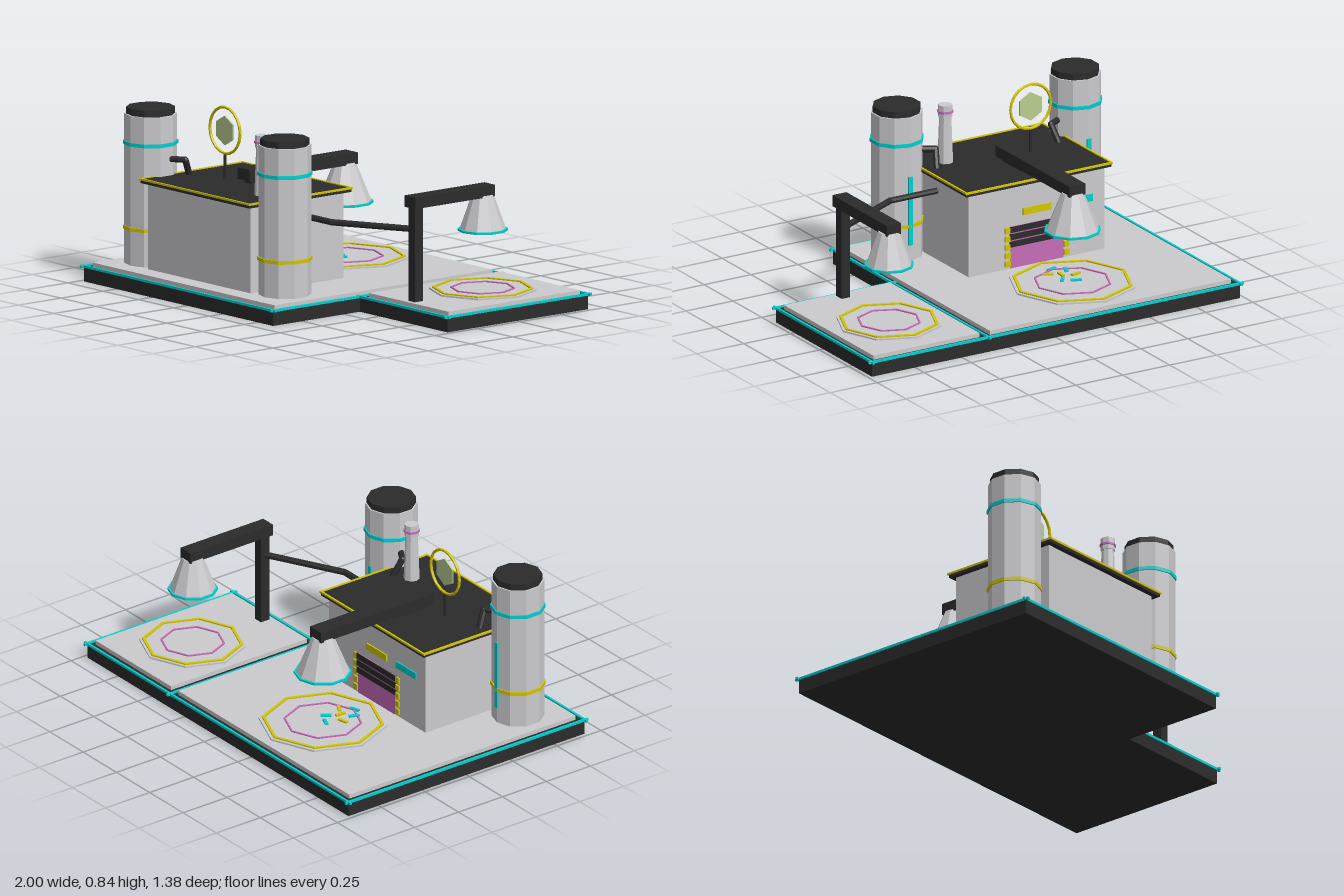
import * as THREE from 'three';

const mat = (name, color) => Object.assign(new THREE.MeshStandardMaterial({ color }), { name });

export function createModel() {
  const dark = mat('charcoal', 0x2b2b2c), light = mat('light grey', 0xcbcbce);
  const teal = mat('teal', 0x00cfcf), yellow = mat('yellow', 0xd2c500);
  const pink = mat('pink', 0xc86cb8), green = mat('pale green', 0xb9cd8f);
  const root = new THREE.Group();
  root.name = 'factory';

  // Helpers: faceted mesh, box, cylinder and square-section ring
  function add(name, geo, material, x, y, z, parent = root) {
    const flat = geo.index ? geo.toNonIndexed() : geo;
    flat.computeVertexNormals();
    const m = new THREE.Mesh(flat, material);
    m.name = name;
    m.position.set(x, y, z);
    parent.add(m);
    return m;
  }
  // box given by its minimum and maximum along each axis
  const span = (name, material, x0, x1, y0, y1, z0, z1, parent) =>
    add(name, new THREE.BoxGeometry(x1 - x0, y1 - y0, z1 - z0), material,
      (x0 + x1) / 2, (y0 + y1) / 2, (z0 + z1) / 2, parent);
  const cyl = (name, material, rTop, rBottom, y0, y1, x, z, sides = 10, parent = root) =>
    add(name, new THREE.CylinderGeometry(rTop, rBottom, y1 - y0, sides), material, x, (y0 + y1) / 2, z, parent);
  function ring(name, material, inner, outer, h, x, y, z, sides = 10, parent = root) {
    const p = [[inner, -h / 2], [outer, -h / 2], [outer, h / 2], [inner, h / 2], [inner, -h / 2]]
      .map(([a, b]) => new THREE.Vector2(a, b));
    return add(name, new THREE.LatheGeometry(p, sides), material, x, y, z, parent);
  }
  // bent pipe made of straight rods with ball joints
  function pipe(name, points, r, parent = root) {
    const v = points.map(p => new THREE.Vector3(...p));
    v.forEach((b, i) => {
      add(name + 'Joint', new THREE.SphereGeometry(r, 8, 6), dark, b.x, b.y, b.z, parent);
      if (!i) return;
      const a = v[i - 1], d = b.clone().sub(a);
      const mid = a.clone().add(b).multiplyScalar(0.5);
      const rod = add(name, new THREE.CylinderGeometry(r, r, d.length(), 8), dark, mid.x, mid.y, mid.z, parent);
      rod.quaternion.setFromUnitVectors(new THREE.Vector3(0, 1, 0), d.normalize());
    });
  }
  // four rods around a rectangle
  function trim(name, material, x0, x1, z0, z1, y, t, over) {
    for (const z of [z0, z1]) span(name, material, x0 - over, x1 + over, y - t / 2, y + t / 2, z - t / 2, z + t / 2);
    for (const x of [x0, x1]) span(name, material, x - t / 2, x + t / 2, y - t / 2, y + t / 2, z0 - over, z1 + over);
  }

  // Two joined bases with floor slabs and glowing edges
  for (const [x0, x1, z0, z1] of [[-0.98, 0.36, -0.672, 0.672], [0.36, 0.98, -0.672, 0.16]]) {
    span('base', dark, x0, x1, 0, 0.068, z0, z1);
    span('floorSlab', light, x0 + 0.03, x1 - 0.025, 0.068, 0.088, z0 + 0.028, z1 - 0.028);
    trim('baseTrim', teal, x0, x1, z0, z1, 0.07, 0.011, 0.018);
  }

  // Landing pads with hanging nozzles and their overhead arms
  const stations = [
    { x: -0.31, pad: 0.295, outer: 0.28, inner: 0.18, cone: 0.125, bottom: 0.345, w: 0.085, back: 0.288 },
    { x: 0.667, pad: 0.245, outer: 0.232, inner: 0.148, cone: 0.108, bottom: 0.367, w: 0.075, back: 0.12 },
  ];
  for (const s of stations) {
    const z = -0.31;
    cyl('pad', light, s.pad, s.pad, 0.088, 0.096, s.x, z, 8);
    ring('padOuterRing', yellow, s.outer - 0.014, s.outer, 0.008, s.x, 0.098, z, 8);
    ring('padInnerRing', pink, s.inner - 0.008, s.inner, 0.007, s.x, 0.098, z, 8);
    cyl('nozzle', light, 0.05, s.cone, s.bottom, 0.53, s.x, z);
    ring('nozzleRim', teal, s.cone - 0.01, s.cone + 0.007, 0.01, s.x, s.bottom + 0.002, z);
    span('arm', dark, s.x - s.w / 2, s.x + s.w / 2, 0.522, 0.575, -0.352, s.back);
  }
  span('armPost', dark, 0.645, 0.69, 0.088, 0.525, 0.062, 0.11);
  span('armMount', dark, -0.335, -0.285, 0.5, 0.525, 0.08, 0.26);

  // Loose pieces lying on the large pad
  [[-0.31, -0.13, 0.3, teal], [-0.36, -0.17, 1.2, teal], [-0.26, -0.18, -0.5, yellow], [-0.37, -0.24, 0.2, yellow],
    [-0.28, -0.27, 0.9, teal], [-0.33, -0.31, -0.4, teal], [-0.31, -0.21, 1.5, yellow]]
    .forEach(([x, z, turn, m]) => {
      add('padPiece', new THREE.BoxGeometry(0.05, 0.008, 0.016), m, x, 0.1, z).rotation.y = turn;
    });

  // Main building and roof
  span('building', light, -0.672, 0.052, 0.088, 0.487, 0, 0.55);
  span('roof', dark, -0.693, 0.078, 0.487, 0.505, -0.025, 0.577);
  trim('roofTrim', yellow, -0.693, 0.078, -0.025, 0.577, 0.505, 0.009, 0.006);

  // Rear gate with slats, marker blocks and sign plates
  span('gate', pink, -0.45, -0.17, 0.09, 0.29, -0.005, 0.001);
  for (let i = 0; i < 3; i++)
    span('gateSlat', dark, -0.455, -0.165, 0.192 + i * 0.035, 0.22 + i * 0.035, -0.009, 0.001);
  for (const x of [-0.466, -0.154]) for (let i = 0; i < 5; i++)
    span('gateMarker', yellow, x - 0.014, x + 0.014, 0.1 + i * 0.04, 0.127 + i * 0.04, -0.008, 0.001);
  span('signPlate', yellow, -0.385, -0.235, 0.335, 0.368, -0.007, 0.001);
  span('signPlate', teal, -0.605, -0.455, 0.333, 0.366, -0.007, 0.001);

  // Storage tanks on both sides, with bands, rear strip and roof pipe
  for (const side of [-1, 1]) {
    const x = -0.31 + side * 0.475, z = 0.44;
    cyl('tank', light, 0.12, 0.12, 0.088, 0.78, x, z);
    cyl('tankCap', dark, 0.112, 0.112, 0.78, 0.81, x, z);
    ring('tankBand', teal, 0.115, 0.126, 0.017, x, 0.648, z);
    ring('tankBand', yellow, 0.115, 0.126, 0.017, x, 0.256, z);
    span('tankStrip', teal, x - 0.01, x + 0.01, 0.165, 0.495, z - 0.125, z - 0.11);
    const px = d => -0.31 + side * d;
    pipe('tankPipe', [[px(0.38), 0.58, 0.42], [px(0.307), 0.58, 0.375], [px(0.325), 0.5, 0.335]], 0.015);
  }

  // Chimney
  cyl('chimney', light, 0.028, 0.037, 0.5, 0.735, -0.06, 0.385, 8);
  cyl('chimneyTop', light, 0.033, 0.033, 0.725, 0.782, -0.06, 0.385, 8);
  ring('chimneyBand', pink, 0.028, 0.038, 0.01, -0.06, 0.75, 0.385, 8);

  // Roof emblem: hoop on a post around a hexagonal plate
  cyl('hoopPost', dark, 0.007, 0.007, 0.5, 0.62, -0.45, 0.28, 6);
  add('hoop', new THREE.TorusGeometry(0.107, 0.007, 6, 20), yellow, -0.45, 0.73, 0.28);
  const hex = add('hexPlate', new THREE.CylinderGeometry(0.068, 0.068, 0.008, 6), green, -0.45, 0.73, 0.28);
  hex.rotation.x = Math.PI / 2;

  // Supply pipe from the building to the far post
  pipe('supplyPipe', [[0.04, 0.42, 0.277], [0.3, 0.42, 0.277], [0.665, 0.42, 0.088]], 0.015);

  return root;
}
